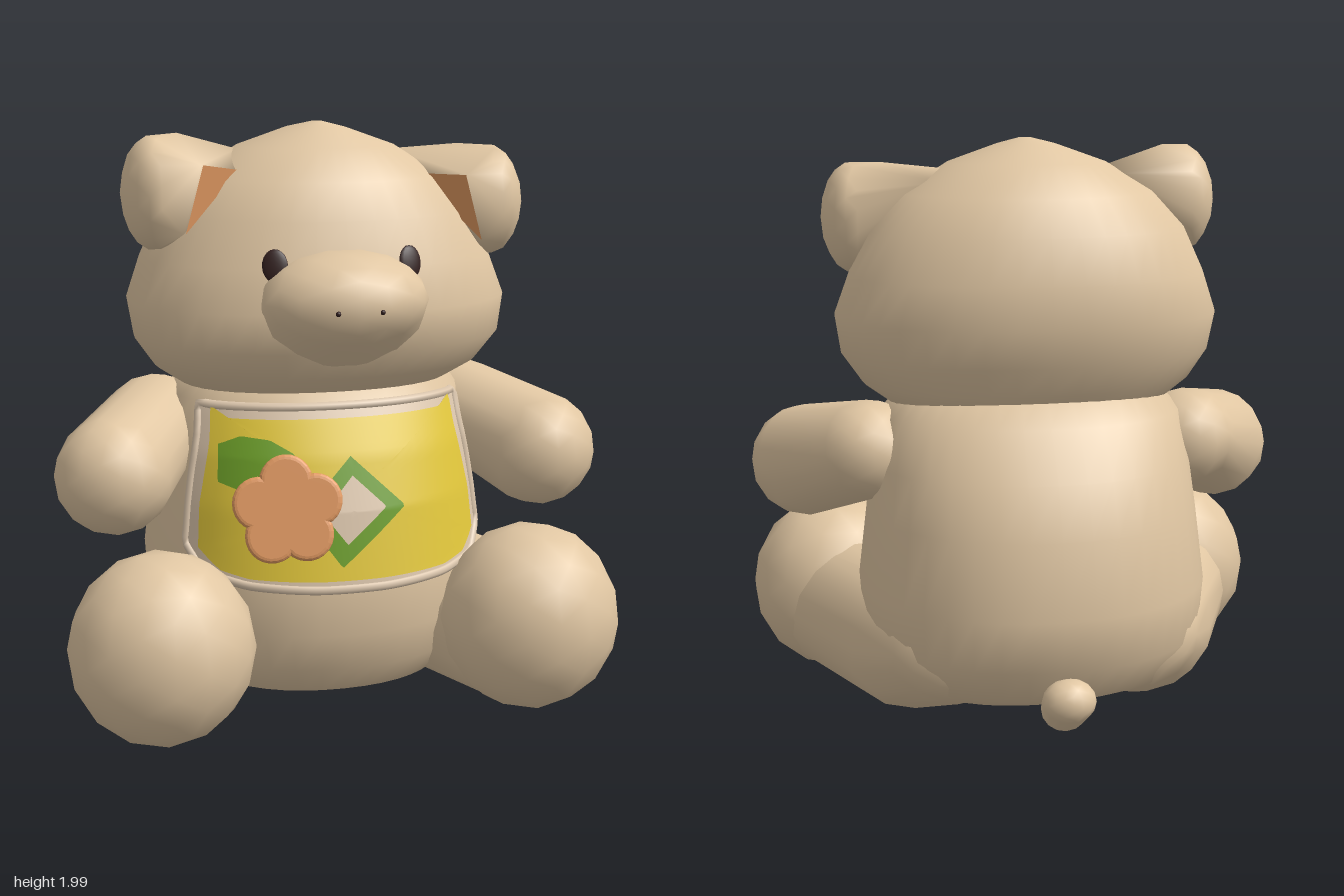
import * as THREE from 'three';
import { mergeVertices } from 'three/addons/utils/BufferGeometryUtils.js';
import { ConvexGeometry } from 'three/addons/geometries/ConvexGeometry.js';

const mat = (name, color, side = THREE.FrontSide) => {
  const m = new THREE.MeshStandardMaterial({ color, side });
  m.name = name;
  return m;
};

// Cross-sections: [y, back z, front z, half width]
const BODY = [
  [0.03, -0.12, 0.2, 0.25], [0.09, -0.36, 0.36, 0.43], [0.19, -0.58, 0.43, 0.54], [0.32, -0.67, 0.46, 0.59],
  [0.5, -0.7, 0.47, 0.6], [0.75, -0.65, 0.42, 0.57], [0.92, -0.58, 0.36, 0.55], [1.08, -0.47, 0.28, 0.52],
  [1.2, -0.36, 0.2, 0.42],
];
const HEAD = [
  [1.06, -0.25, 0.16, 0.32], [1.11, -0.37, 0.25, 0.47], [1.18, -0.42, 0.36, 0.57], [1.28, -0.47, 0.44, 0.64],
  [1.41, -0.51, 0.455, 0.66], [1.55, -0.5, 0.415, 0.61], [1.7, -0.46, 0.37, 0.54], [1.82, -0.39, 0.31, 0.43],
  [1.92, -0.28, 0.2, 0.27], [1.98, -0.15, 0.08, 0.1], [2.0, -0.04, 0.01, 0.02],
];
const POWER = 2.15;

function buildGeometry(positions, index) {
  const g = new THREE.BufferGeometry();
  g.setAttribute('position', new THREE.Float32BufferAttribute(positions, 3));
  g.setIndex(index);
  g.computeVertexNormals();
  return g;
}

// Closed skin over stacked rounded cross-sections
function loft(rings, n = 40) {
  const pos = [], idx = [];
  const bend = (v) => Math.sign(v) * Math.abs(v) ** (2 / POWER);
  for (const [y, back, front, rx] of rings) {
    for (let i = 0; i < n; i++) {
      const a = (i / n) * Math.PI * 2;
      pos.push(rx * bend(Math.cos(a)), y, (back + front) / 2 + ((front - back) / 2) * bend(Math.sin(a)));
    }
  }
  const last = (rings.length - 1) * n, bottom = rings.length * n, top = bottom + 1;
  for (const r of [rings[0], rings[rings.length - 1]]) pos.push(0, r[0], (r[1] + r[2]) / 2);
  for (let i = 0; i < n; i++) {
    const j = (i + 1) % n;
    for (let r = 0; r < last; r += n) idx.push(r + i, r + n + i, r + j, r + j, r + n + i, r + n + j);
    idx.push(bottom, i, j, top, last + j, last + i);
  }
  return buildGeometry(pos, idx);
}

// Front z of a lofted skin at (x, y), puffed out by an offset
function frontZ(rings, x, y, off = 0) {
  let k = 0;
  while (k < rings.length - 2 && rings[k + 1][0] < y) k++;
  const t = THREE.MathUtils.clamp((y - rings[k][0]) / (rings[k + 1][0] - rings[k][0]), 0, 1);
  const [back, front, rx] = [1, 2, 3].map((c) => THREE.MathUtils.lerp(rings[k][c], rings[k + 1][c], t));
  const u = Math.min(1, Math.abs(x) / (rx + off));
  return (back + front) / 2 + ((front - back) / 2 + off) * (1 - u ** POWER) ** (1 / POWER);
}

// Smooth convex skin around points
function hull(points) {
  const g = new ConvexGeometry(points);
  g.deleteAttribute('normal');
  const merged = mergeVertices(g, 1e-4);
  merged.computeVertexNormals();
  return merged;
}
function ellipsoid(x, y, z, rx, ry, rz) {
  const p = new THREE.IcosahedronGeometry(1, 2).attributes.position;
  return Array.from({ length: p.count }, (_, i) =>
    new THREE.Vector3(x + rx * p.getX(i), y + ry * p.getY(i), z + rz * p.getZ(i)));
}

// Thin patch lying on the belly, filled from its centre to an outline
function bellyPatch(outline, off, levels = 8) {
  const n = outline.length, pos = [], idx = [];
  const cx = outline.reduce((s, p) => s + p.x, 0) / n, cy = outline.reduce((s, p) => s + p.y, 0) / n;
  for (let l = 0; l <= levels; l++) {
    for (const p of outline) {
      const x = cx + ((p.x - cx) * l) / levels, y = cy + ((p.y - cy) * l) / levels;
      pos.push(x, y, frontZ(BODY, x, y, off));
    }
  }
  for (let l = 0; l < levels; l++) {
    for (let i = 0; i < n; i++) {
      const a = l * n + i, b = l * n + ((i + 1) % n);
      idx.push(a, a + n, b + n);
      if (l > 0) idx.push(a, b + n, b);
    }
  }
  return buildGeometry(pos, idx);
}
// Evenly spaced points around a closed outline
const polygon = (pts, n = 64) =>
  new THREE.Shape([...pts, pts[0]].map(([x, y]) => new THREE.Vector2(x, y))).getSpacedPoints(n).slice(0, n);
const mirrored = (half) => [...half, ...half.map(([x, y]) => [-x, y]).reverse()];

export function createModel() {
  const group = new THREE.Group();
  const fur = mat('tan fur', 0xe1c7a3);
  const yellow = mat('yellow bib', 0xe4c93c, THREE.DoubleSide);
  const cream = mat('cream trim', 0xdec8ae, THREE.DoubleSide);
  const green = mat('leaf green', 0x6d9f29, THREE.DoubleSide);
  const orange = mat('soft orange', 0xe29a62, THREE.DoubleSide);
  const dark = mat('dark brown', 0x33201f);
  const add = (name, geometry, material) => {
    const m = new THREE.Mesh(geometry, material);
    m.name = name;
    group.add(m);
    return m;
  };

  // Body, head, snout, tail
  add('body', loft(BODY), fur);
  add('head', loft(HEAD), fur);
  add('snout', hull([...ellipsoid(-0.015, 1.45, 0.4, 0.28, 0.165, 0.22), ...ellipsoid(-0.01, 1.36, 0.29, 0.29, 0.16, 0.2)]), fur);
  add('tail', hull([...ellipsoid(-0.02, 0.22, -0.665, 0.09, 0.075, 0.075), ...ellipsoid(-0.02, 0.17, -0.6, 0.08, 0.075, 0.07)]), fur);

  // Paired limbs, ears and eyes
  for (const s of [1, -1]) {
    const side = s > 0 ? 'left' : 'right';
    add(side + 'Arm', hull([
      ...ellipsoid(s * 0.75, 0.86, 0.2, 0.2, 0.2, 0.2),
      ...ellipsoid(s * 0.56, 0.96, -0.11, 0.18, 0.17, 0.18),
    ]), fur);
    add(side + 'Foot', hull(ellipsoid(s * 0.64, 0.33, 0.44, 0.31, 0.325, 0.3)), fur);
    // Thigh and wide hip flowing back into the body
    add(side + 'Thigh', hull([
      ...ellipsoid(s * 0.6, 0.27, 0.36, 0.27, 0.26, 0.22),
      ...ellipsoid(s * 0.42, 0.27, -0.06, 0.26, 0.26, 0.26),
      ...ellipsoid(s * 0.3, 0.33, -0.3, 0.26, 0.22, 0.24),
    ]), fur);

    // One ear is cocked a little higher at its tip
    const lift = s > 0 ? 0 : 0.05;
    const toVec = ([x, y, z]) => new THREE.Vector3(s * x, y + lift * Math.min(1, (x - 0.25) / 0.12), z);
    const inner = [[0.31, 1.83, 0.13], [0.45, 1.83, 0.25], [0.51, 1.61, 0.25]];
    add(side + 'Ear', hull([
      ...ellipsoid(s * 0.58, 1.73 + lift, 0.09, 0.11, 0.19, 0.17),
      ...[...inner, [0.3, 1.86, -0.13], [0.27, 1.9, -0.06], [0.49, 1.92, 0.02]].map(toVec),
    ]), fur);
    const flap = inner.map(([x, y, z]) => toVec([x - 0.005, y, z + 0.006])).flatMap((v) => v.toArray());
    add(side + 'InnerEar', buildGeometry(flap, s > 0 ? [0, 2, 1] : [0, 1, 2]), orange);

    const ex = s > 0 ? 0.21 : -0.24;
    const eye = add(side + 'Eye', new THREE.SphereGeometry(1, 16, 10), dark);
    eye.scale.set(0.042, 0.055, 0.012);
    eye.rotation.set(-0.25, s * 0.3, 0);
    eye.position.set(ex, 1.565, frontZ(HEAD, ex, 1.565) + 0.001);

    const nostril = add(side + 'Nostril', new THREE.SphereGeometry(0.009, 8, 6), dark);
    nostril.position.set(-0.018 + s * 0.072, 1.44, 0.607);
  }

  // Bib with cream border and piped rim
  const border = polygon(mirrored([[-0.45, 1.075], [-0.46, 0.98], [-0.485, 0.85], [-0.5, 0.75], [-0.515, 0.61], [-0.47, 0.53], [-0.34, 0.505], [-0.12, 0.495]]), 96);
  add('bibBorder', bellyPatch(border, 0.02, 12), cream);
  add('bib', bellyPatch(polygon(mirrored([[-0.37, 1.04], [-0.42, 1.075], [-0.43, 0.97], [-0.455, 0.85], [-0.475, 0.75], [-0.485, 0.61], [-0.43, 0.55], [-0.34, 0.53], [-0.12, 0.525]]), 96), 0.028, 12), yellow);
  const rim = new THREE.CatmullRomCurve3(border.map((p) => new THREE.Vector3(p.x, p.y, frontZ(BODY, p.x, p.y, 0.016))), true);
  add('bibRim', new THREE.TubeGeometry(rim, 120, 0.016, 6, true), cream);

  // Diamond patch and leaf
  add('diamondFrame', bellyPatch(polygon([[0.01, 0.925], [-0.17, 0.75], [-0.04, 0.57], [0.19, 0.755]]), 0.036), green);
  add('diamondCentre', bellyPatch(polygon([[0.01, 0.865], [-0.1, 0.75], [-0.02, 0.645], [0.12, 0.76]]), 0.041), cream);
  add('leaf', bellyPatch(polygon([[-0.41, 0.96], [-0.42, 0.84], [-0.3, 0.8], [-0.12, 0.86], [-0.18, 0.94], [-0.25, 0.98], [-0.34, 0.99]]), 0.042), green);

  // Five-petal flower
  const petals = Array.from({ length: 60 }, (_, i) => {
    const a = (i / 60) * Math.PI * 2;
    const r = 0.122 + 0.048 * Math.abs(Math.cos(2.5 * (a - Math.PI / 2))) ** 0.8;
    return new THREE.Vector2(r * Math.cos(a), r * Math.sin(a));
  });
  const flower = add('flower', new THREE.ExtrudeGeometry(new THREE.Shape(petals), {
    depth: 0.02, bevelEnabled: true, bevelSize: 0.016, bevelThickness: 0.014, bevelSegments: 3,
  }), orange);
  flower.position.set(-0.215, 0.765, 0.44);
  flower.rotation.set(-0.27, -0.2, 0);

  return group;
}
